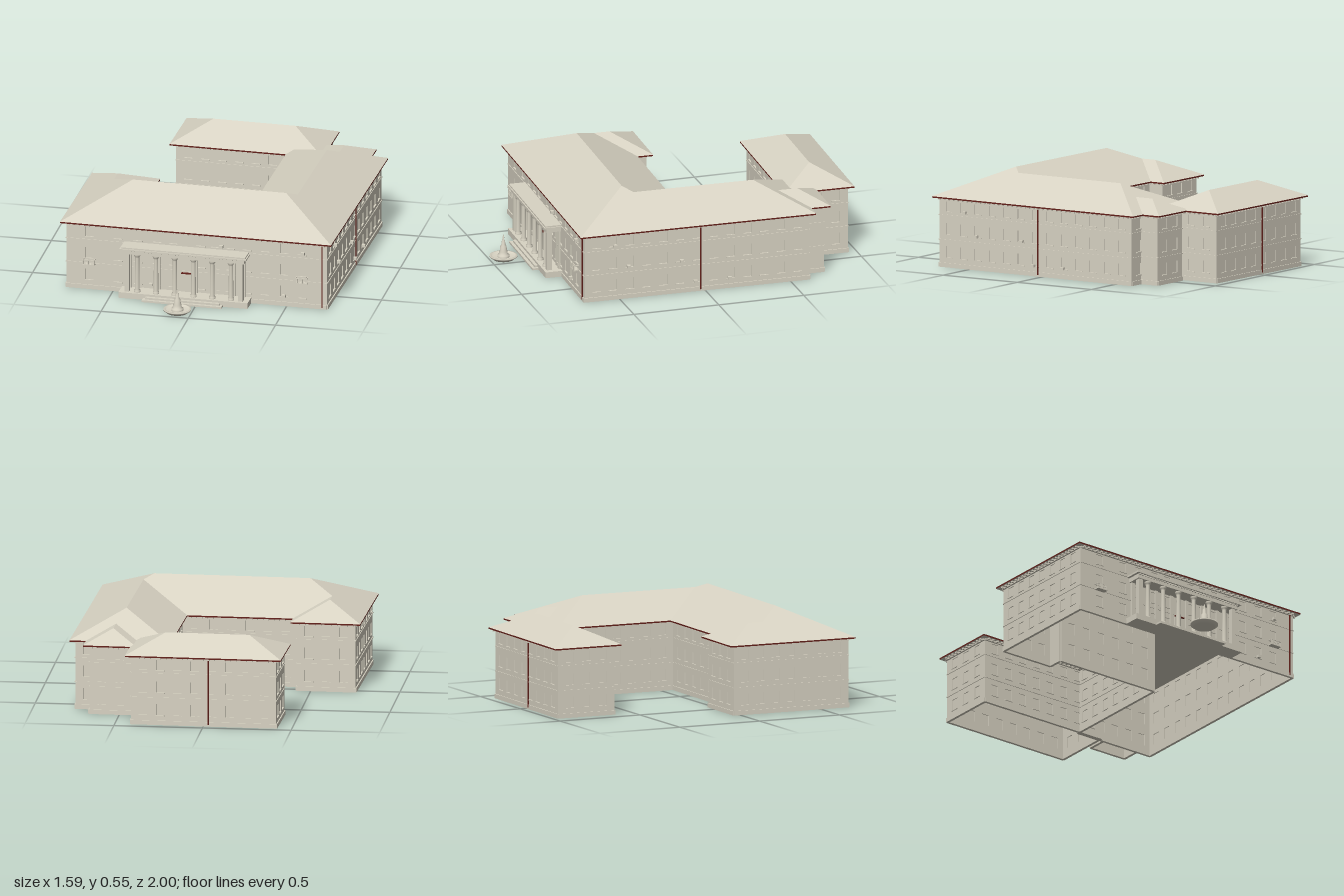
import * as THREE from 'three';
import { mergeGeometries } from 'three/addons/utils/BufferGeometryUtils.js';

const stone = new THREE.MeshStandardMaterial({ color: 0xd8d3c3, side: THREE.DoubleSide });
stone.name = 'stone';
const darkRed = new THREE.MeshStandardMaterial({ color: 0x64201a });
darkRed.name = 'darkRed';

const EAVE = 0.4, SLOPE = 0.457, WALL_TOP = 0.39;
const ROWS = [[0.055, 0.12], [0.185, 0.25], [0.315, 0.372]];
const WIN = 0.046;

function add(parent, name, geometry, material = stone) {
  const mesh = new THREE.Mesh(geometry, material);
  mesh.name = name;
  parent.add(mesh);
  return mesh;
}

// box given by its min and max corners
function box(x0, x1, y0, y1, z0, z1) {
  return new THREE.BoxGeometry(x1 - x0, y1 - y0, z1 - z0)
    .translate((x0 + x1) / 2, (y0 + y1) / 2, (z0 + z1) / 2);
}

function lathe(points, sides) {
  return new THREE.LatheGeometry(points.map(p => new THREE.Vector2(...p)), sides);
}

// sloped roof planes: each corner is [x, z, distance in from the eave]
function roof(faces) {
  const pos = [];
  for (const face of faces) {
    const p = face.map(([x, z, d]) => new THREE.Vector3(x, EAVE + d * SLOPE, z));
    for (let i = 1; i < p.length - 1; i++) {
      const [a, b, c] = [p[0], p[i], p[i + 1]];
      const up = b.clone().sub(a).cross(c.clone().sub(a)).y > 0;
      for (const v of up ? [a, b, c] : [a, c, b]) pos.push(v.x, v.y, v.z);
    }
  }
  const g = new THREE.BufferGeometry();
  g.setAttribute('position', new THREE.Float32BufferAttribute(pos, 3));
  g.computeVertexNormals();
  return g;
}

// flat slab under the roof with a red gutter edge
function eaves(parent, outline) {
  const shape = new THREE.Shape(outline.map(([x, z]) => new THREE.Vector2(x, -z)));
  const g = new THREE.ExtrudeGeometry(shape, { depth: 0.008, bevelEnabled: false });
  g.rotateX(-Math.PI / 2).translate(0, EAVE - 0.009, 0);
  add(parent, 'eavesSlab', g, [stone, darkRed]);
}

// one wall from a to b (outside on the right), with recessed windows and trim
function wall(parent, a, b, columns) {
  const dx = b[0] - a[0], dz = b[1] - a[1], len = Math.hypot(dx, dz);
  const group = new THREE.Group();
  group.name = 'wall';
  group.position.set(a[0], 0, a[1]);
  group.rotation.y = -Math.atan2(dz, dx);
  parent.add(group);

  if (!columns) {
    const n = len < 0.13 ? 0 : Math.max(1, Math.round((len - 0.05) / 0.098));
    columns = Array.from({ length: n }, (_, i) => len / 2 + (i - (n - 1) / 2) * (len - 0.04) / n);
  }
  const shape = new THREE.Shape([[0, 0], [len, 0], [len, WALL_TOP], [0, WALL_TOP]]
    .map(p => new THREE.Vector2(...p)));
  const trim = [
    box(0, len, 0, 0.025, 0, 0.006),
    box(0, len, 0.152, 0.158, 0, 0.004),
    box(0, len, 0.292, 0.298, 0, 0.004),
    box(0, len, 0.38, WALL_TOP, 0, 0.01),
  ];
  for (const x of columns) {
    for (const [y0, y1] of ROWS) {
      const l = x - WIN / 2, r = x + WIN / 2;
      shape.holes.push(new THREE.Path([[l, y0], [l, y1], [r, y1], [r, y0]]
        .map(p => new THREE.Vector2(...p))));
      trim.push(box(l - 0.003, r + 0.003, y0 - 0.005, y0, 0, 0.005));
    }
  }
  // small brackets carrying the eaves
  const count = Math.floor(len / 0.03);
  for (let i = 0; i < count; i++) {
    const x = (i + 0.5) * len / count;
    trim.push(box(x - 0.005, x + 0.005, 0.382, 0.391, 0.01, 0.024));
  }
  const g = new THREE.ExtrudeGeometry(shape, { depth: 0.01, bevelEnabled: false });
  add(group, 'wallFace', g.translate(0, 0, -0.01));
  add(group, 'windowPanes', new THREE.PlaneGeometry(len, WALL_TOP).translate(len / 2, WALL_TOP / 2, -0.005));
  add(group, 'wallTrim', mergeGeometries(trim));
}

// columns and beam in front of the entrance, centred on x = 0
function portico() {
  const g = new THREE.Group();
  g.name = 'portico';
  add(g, 'platform', box(-0.372, 0.372, 0, 0.034, 0.688, 0.785));
  add(g, 'lowerStep', box(-0.23, 0.23, 0, 0.011, 0.785, 0.82));
  add(g, 'upperStep', box(-0.215, 0.215, 0.011, 0.022, 0.785, 0.803));
  add(g, 'beam', box(-0.35, 0.35, 0.262, 0.288, 0.688, 0.775));
  add(g, 'beamCornice', box(-0.365, 0.365, 0.288, 0.296, 0.688, 0.79));
  add(g, 'beamTop', box(-0.358, 0.358, 0.296, 0.304, 0.688, 0.783));
  const profile = [[0.018, 0.034], [0.018, 0.044], [0.0135, 0.05], [0.0135, 0.12], [0.0115, 0.24],
    [0.016, 0.25], [0.019, 0.254], [0.019, 0.262]];
  for (const s of [-1, 1]) {
    for (const x of [0.054, 0.162, 0.27]) {
      add(g, 'column', lathe(profile, 16)).position.set(s * x, 0, 0.755);
      add(g, 'pilaster', box(s * x - 0.01, s * x + 0.01, 0.034, 0.262, 0.688, 0.696));
    }
    add(g, 'endPier', box(s * 0.328 - 0.013, s * 0.328 + 0.013, 0.034, 0.262, 0.738, 0.768));
    add(g, 'endPilaster', box(s * 0.328 - 0.013, s * 0.328 + 0.013, 0.034, 0.262, 0.688, 0.7));
  }
  const dentils = [];
  for (let i = 0; i < 36; i++) {
    const x = -0.342 + i * 0.0195;
    dentils.push(box(x - 0.005, x + 0.005, 0.281, 0.288, 0.775, 0.783));
  }
  add(g, 'beamDentils', mergeGeometries(dentils));
  add(g, 'doorFrame', box(-0.032, 0.032, 0.034, 0.143, 0.688, 0.694));
  add(g, 'doorHood', box(-0.03, 0.03, 0.143, 0.148, 0.688, 0.702), darkRed);
  return g;
}

function balcony(x) {
  const g = new THREE.Group();
  g.name = 'balcony';
  const parts = [box(-0.034, 0.034, 0.15, 0.156, 0, 0.032), box(-0.034, 0.034, 0.18, 0.184, 0.027, 0.031)];
  for (const s of [-0.032, 0.032]) parts.push(box(s - 0.002, s + 0.002, 0.18, 0.184, 0, 0.03));
  for (let i = 0; i < 9; i++) {
    const px = -0.032 + i * 0.008;
    parts.push(box(px - 0.0015, px + 0.0015, 0.156, 0.18, 0.027, 0.03));
  }
  add(g, 'balconyRailing', mergeGeometries(parts));
  g.position.set(x, 0, 0.688);
  return g;
}

function fountain() {
  const g = new THREE.Group();
  g.name = 'fountain';
  add(g, 'basin', lathe([[0, 0], [0.06, 0], [0.066, 0.01], [0.078, 0.014], [0.078, 0.021],
    [0.068, 0.021], [0.062, 0.012], [0, 0.012]], 32));
  add(g, 'pedestal', lathe([[0.034, 0.012], [0.034, 0.024], [0.024, 0.03], [0.024, 0.045], [0.02, 0.052],
    [0.018, 0.075], [0.011, 0.085], [0.009, 0.11], [0.004, 0.115], [0.005, 0.128], [0, 0.146]], 16));
  return g;
}

export function createModel() {
  const model = new THREE.Group();
  model.name = 'courtyardBuilding';
  const site = new THREE.Group();
  site.name = 'site';
  site.rotation.y = -0.0227;
  model.add(site);

  // main block with its two wings
  const SW = [-0.784, 0.718, 0], SE = [0.777, 0.718, 0], NE = [0.777, -0.658, 0], NW = [0.207, -0.658, 0];
  const inner = [0.207, 0.04, 0], inW = [-0.391, 0.04, 0], wNE = [-0.391, -0.051, 0], wNW = [-0.784, -0.051, 0];
  const ridgeW = [-0.445, 0.379, 0.339], ridgeE = [0.438, 0.379, 0.339];
  const eastS = [0.492, 0.325, 0.285], eastN = [0.492, -0.373, 0.285];
  const westS = [-0.5875, 0.2365, 0.1965], westN = [-0.5875, 0.1455, 0.1965];
  add(site, 'mainRoof', roof([
    [SW, SE, ridgeE, ridgeW],
    [eastS, ridgeE, SE, NE, eastN],
    [NE, NW, eastN],
    [NW, inner, eastS, eastN],
    [inner, inW, westS, ridgeW, ridgeE, eastS],
    [wNE, inW, westS, westN],
    [wNE, wNW, westN],
    [westS, westN, wNW, SW, ridgeW],
  ]));
  eaves(site, [SW, SE, NE, NW, inner, inW, wNE, wNW]);
  const main = [[-0.754, 0.688], [0.747, 0.688], [0.747, -0.628], [0.237, -0.628],
    [0.237, 0.07], [-0.421, 0.07], [-0.421, -0.021], [-0.754, -0.021]];
  const frontColumns = [-0.62, -0.455, -0.343, -0.232, -0.14, 0.02, 0.105, 0.19, 0.285, 0.39, 0.5, 0.605]
    .map(x => x + 0.754);
  main.forEach((p, i) => wall(site, p, main[(i + 1) % main.length], i === 0 ? frontColumns : null));

  // short link at the back of the east wing
  const lNW = [0.383, -0.77, 0], lNE = [0.683, -0.77, 0], lN = [0.533, -0.62, 0.15], lS = [0.533, -0.508, 0.15];
  add(site, 'linkRoof', roof([[lNW, lNE, lN], [lNE, [0.683, -0.658, 0], lS, lN], [lNW, [0.383, -0.658, 0], lS, lN]]));
  eaves(site, [[0.383, -0.66], [0.683, -0.66], lNE, lNW]);
  const link = [[0.653, -0.628], [0.653, -0.74], [0.413, -0.74], [0.413, -0.628]];
  for (let i = 0; i < 3; i++) wall(site, link[i], link[i + 1]);

  // rear block
  const rear = [[-0.463, -0.58, 0], [0.418, -0.58, 0], [0.418, -0.988, 0], [-0.463, -0.988, 0]];
  const rW = [-0.259, -0.784, 0.204], rE = [0.214, -0.784, 0.204];
  add(site, 'rearRoof', roof([[rear[0], rear[1], rE, rW], [rear[1], rear[2], rE],
    [rear[2], rear[3], rW, rE], [rear[3], rear[0], rW]]));
  eaves(site, rear);
  const rearWalls = [[-0.433, -0.61], [0.388, -0.61], [0.388, -0.958], [-0.433, -0.958]];
  rearWalls.forEach((p, i) => wall(site, p, rearWalls[(i + 1) % 4]));

  // rainwater pipes
  for (const [x, z] of [[0.72, 0.693], [0.752, 0.01], [-0.05, -0.963]]) {
    add(site, 'downpipe', new THREE.CylinderGeometry(0.004, 0.004, 0.38, 8), darkRed).position.set(x, 0.2, z);
  }

  // window cooling units on the front and east walls
  const unit = new THREE.BoxGeometry(0.02, 0.016, 0.02);
  for (const [x, y] of [[-0.265, 0.06], [0.265, 0.06], [0.5, 0.06], [0.61, 0.325], [0.14, 0.325]])
    add(site, 'coolingUnit', unit).position.set(x, y, 0.696);
  for (const [z, y] of [[0.51, 0.32], [0.43, 0.19], [0.12, 0.19], [0.04, 0.06], [-0.16, 0.06]])
    add(site, 'coolingUnit', unit).position.set(0.755, y, z);

  const entrance = portico();
  entrance.position.x = -0.06;
  site.add(entrance, balcony(-0.62), balcony(0.605));
  const pool = fountain();
  pool.position.set(-0.059, 0, 0.922);
  site.add(pool);
  return model;
}
